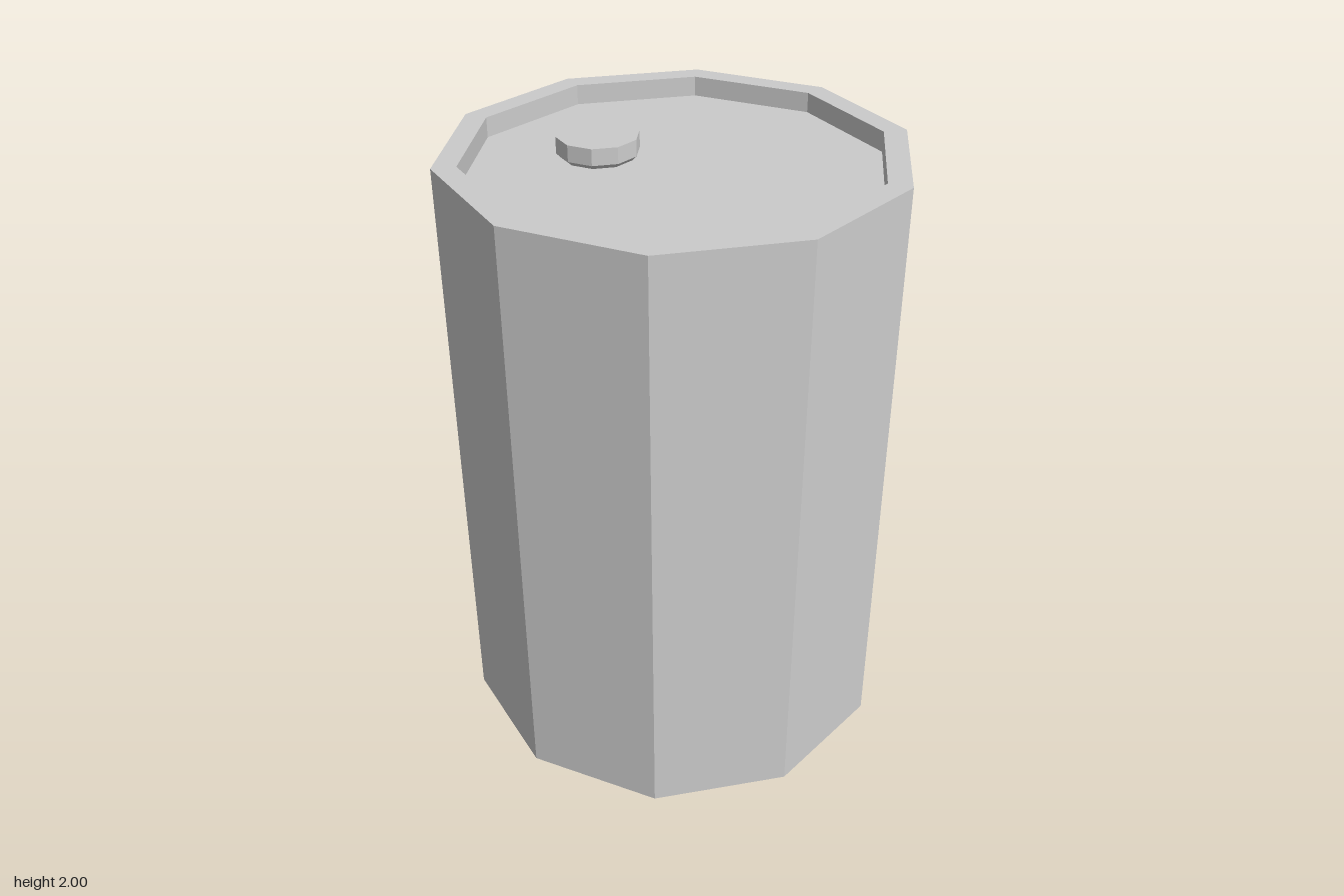
import * as THREE from 'three';

const SIDES = 10;
const START = THREE.MathUtils.degToRad(87.1); // slight twist of the decagon

// Faceted solid of revolution from [radius, y] pairs, listed from the bottom up
function facetedLathe(name, profile, material) {
  const points = profile.map(([r, y]) => new THREE.Vector2(r, y));
  const mesh = new THREE.Mesh(new THREE.LatheGeometry(points, SIDES, START), material);
  mesh.name = name;
  return mesh;
}

export function createModel() {
  const group = new THREE.Group();
  group.name = 'barrel';
  const material = new THREE.MeshStandardMaterial({ color: 0xcccccc, flatShading: true });

  // Drum with a raised rim around a recessed lid
  const rimTop = 1.997;
  const lidY = 1.932;
  group.add(facetedLathe('drum', [
    [0, 0], [0.725, 0], [0.725, rimTop], [0.65, rimTop], [0.65, lidY], [0, lidY],
  ], material));

  // Off-centre filler cap, narrowing to a short neck at the lid
  const cap = facetedLathe('fillerCap', [
    [0, lidY], [0.115, lidY], [0.13, lidY + 0.015], [0.13, 2], [0, 2],
  ], material);
  cap.position.set(-0.2, 0, -0.175);
  group.add(cap);

  return group;
}
